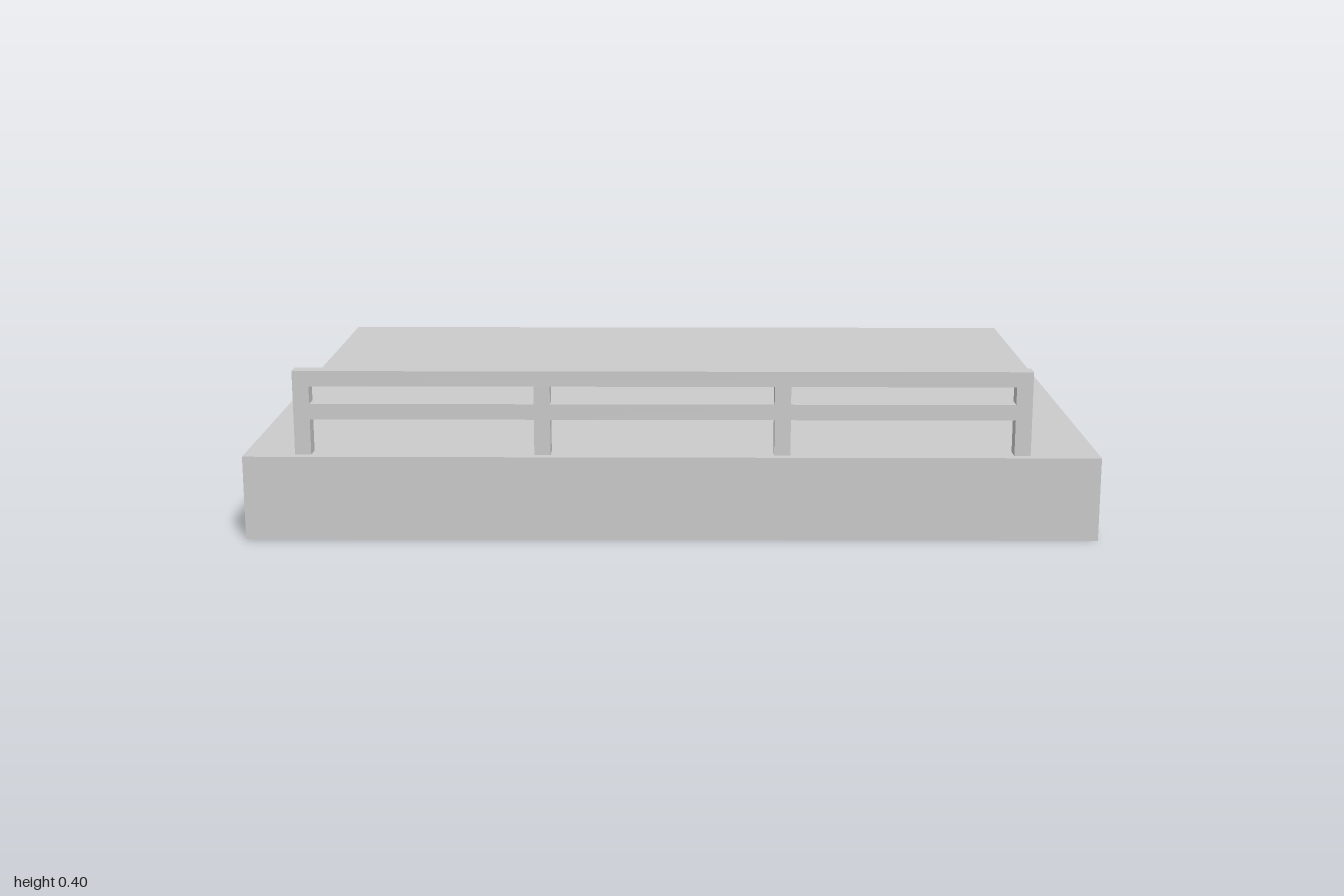
import * as THREE from 'three';

export function createModel() {
  const model = new THREE.Group();
  const material = new THREE.MeshStandardMaterial({ color: 0xcccccc, flatShading: true });

  // Box given by its lower and upper corners
  const addBox = (parent, name, [x0, y0, z0], [x1, y1, z1]) => {
    const mesh = new THREE.Mesh(new THREE.BoxGeometry(x1 - x0, y1 - y0, z1 - z0), material);
    mesh.position.set((x0 + x1) / 2, (y0 + y1) / 2, (z0 + z1) / 2);
    mesh.name = name;
    parent.add(mesh);
  };

  const W = 1, D = 0.8, H = 0.2, ceiling = 0.16, wall = 0.06;

  // Solid deck slab over a hollow base
  addBox(model, 'deck', [-W, ceiling, -D], [W, H, D]);

  // Skirt: one continuous rim below the deck
  const rim = new THREE.Shape();
  const rectangle = (path, w, d) =>
    path.moveTo(-w, -d).lineTo(w, -d).lineTo(w, d).lineTo(-w, d).closePath();
  rectangle(rim, W, D);
  const opening = new THREE.Path();
  rectangle(opening, W - wall, D - wall);
  rim.holes.push(opening);
  const skirtGeometry = new THREE.ExtrudeGeometry(rim, { depth: ceiling, bevelEnabled: false });
  skirtGeometry.rotateX(-Math.PI / 2);
  const skirt = new THREE.Mesh(skirtGeometry, material);
  skirt.name = 'skirt';
  model.add(skirt);

  // Four support blocks under the deck
  const supports = new THREE.Group();
  supports.name = 'supports';
  for (const x of [-0.32, 0.32]) {
    for (const z of [-0.28, 0.24]) {
      addBox(supports, 'support', [x - 0.04, 0, z - 0.04], [x + 0.04, ceiling, z + 0.04]);
    }
  }
  model.add(supports);

  // Railing along the front edge: four posts, top rail and middle rail
  const railing = new THREE.Group();
  railing.name = 'railing';
  const zBack = 0.74, zFront = 0.78, post = 0.038, top = 0.4, railBottom = 0.364;
  const start = -0.88, spacing = 0.56;
  for (let i = 0; i < 4; i++) {
    const x = start + i * spacing;
    addBox(railing, 'railingPost', [x, H, zBack], [x + post, railBottom, zFront]);
    if (i < 3) {
      addBox(railing, 'middleRail', [x + post, 0.285, zBack], [x + spacing, 0.322, zFront]);
    }
  }
  addBox(railing, 'topRail', [start, railBottom, zBack], [start + 3 * spacing + post, top, zFront]);
  model.add(railing);

  return model;
}
